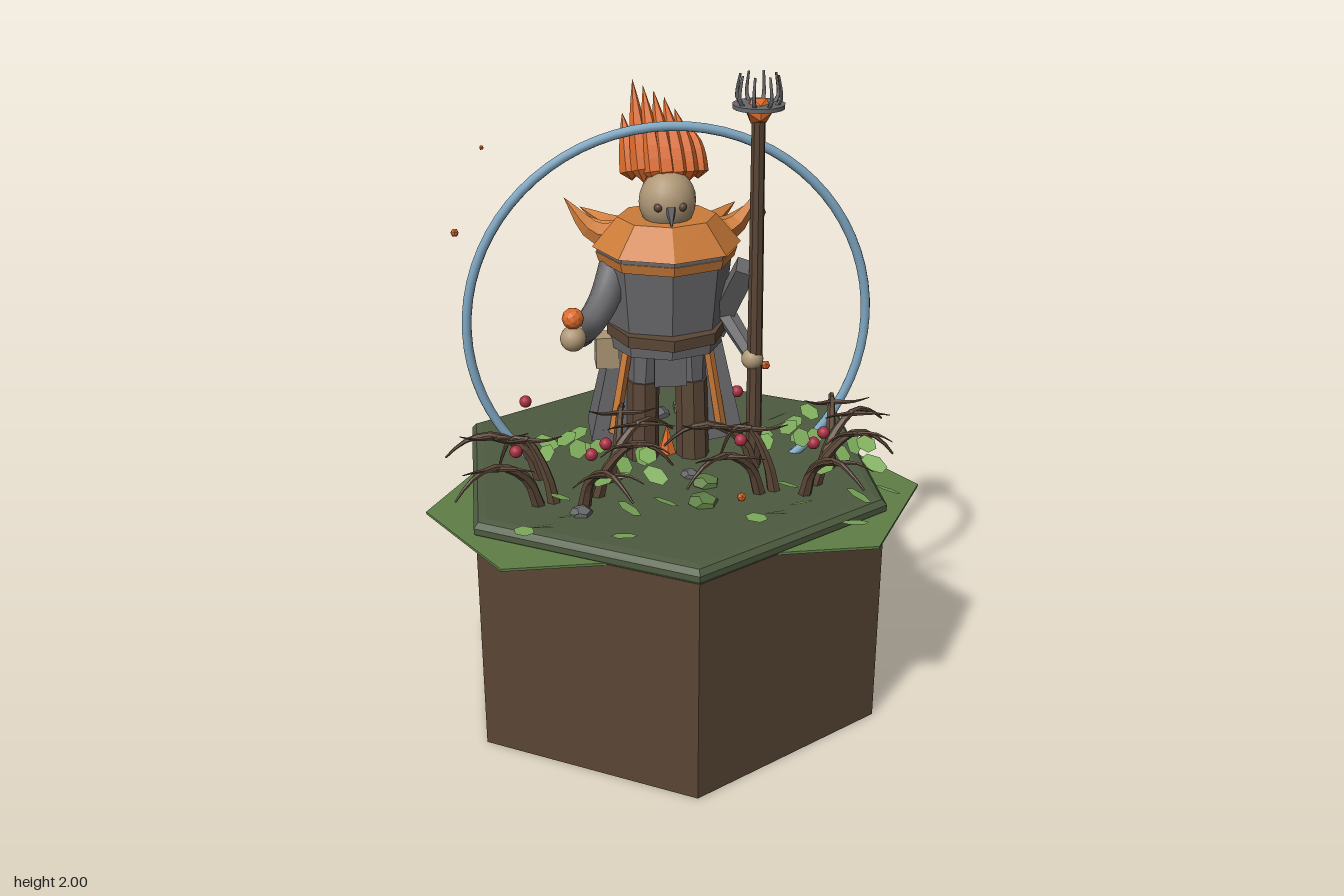
import * as THREE from 'three';

const V = (x, y, z) => new THREE.Vector3(x, y, z);
const mat = (name, color) => {
  const m = new THREE.MeshStandardMaterial({ color });
  m.name = name;
  return m;
};

// Faceted normals
function flat(g) {
  const f = g.index ? g.toNonIndexed() : g;
  f.computeVertexNormals();
  return f;
}

// Tube along points whose radius follows a rule of t
function taper(points, radius, rule, steps = 8, sides = 6) {
  const curve = new THREE.CatmullRomCurve3(points.map(p => V(...p)));
  const g = new THREE.TubeGeometry(curve, steps, radius, sides);
  const pos = g.attributes.position, v = V(0, 0, 0);
  for (let i = 0; i <= steps; i++) {
    const c = curve.getPointAt(i / steps);
    for (let j = 0; j <= sides; j++) {
      const k = i * (sides + 1) + j;
      v.fromBufferAttribute(pos, k).sub(c).multiplyScalar(rule(i / steps)).add(c);
      pos.setXYZ(k, v.x, v.y, v.z);
    }
  }
  g.computeVertexNormals();
  return g;
}
const featherRule = t => (t === 0 ? 0 : Math.max(0.01, 1 - t * t));
const stemRule = t => Math.max(0.12, 1 - 0.85 * t);

// Straight prism between two points
function rod(a, b, rA, rB, sides = 8, twist = 0) {
  const A = V(...a), B = V(...b), d = B.clone().sub(A);
  const g = new THREE.CylinderGeometry(rB, rA, d.length(), sides);
  g.rotateY(twist);
  g.applyQuaternion(new THREE.Quaternion().setFromUnitVectors(V(0, 1, 0), d.normalize()));
  const m = A.add(B).multiplyScalar(0.5);
  return flat(g.translate(m.x, m.y, m.z));
}

function seeded(seed) {
  return () => (seed = (seed * 16807) % 2147483647) / 2147483647;
}

export function createModel() {
  const model = new THREE.Group();
  const earth = mat('earth and wood', 0x5a4636), moss = mat('moss', 0x4d5a3f);
  const grass = mat('grass', 0x5f7f46), leafMat = mat('leaf', 0x7dab5c);
  const steel = mat('grey cloth and metal', 0x68686b), skin = mat('tan', 0xae9776);
  const feather = mat('feather orange', 0xcd7c3a), flame = mat('bright orange', 0xd9692a);
  const blue = mat('ring blue', 0x7fa7c2), red = mat('berry red', 0xa52e42);
  leafMat.side = THREE.DoubleSide;

  const add = (name, g, m, p = [0, 0, 0], parent = model) => {
    const mesh = new THREE.Mesh(g, m);
    mesh.name = name;
    mesh.position.set(...p);
    parent.add(mesh);
    return mesh;
  };
  const ball = (r, sy = 1) => new THREE.SphereGeometry(r, 16, 12).scale(1, sy, 1);

  // Hexagonal base with bevelled moss cap and grass plates
  add('base', flat(new THREE.CylinderGeometry(0.705, 0.705, 0.725, 6)), earth, [0, 0.3625, 0]);
  const cap = [[0, 0.72], [0.7, 0.72], [0.711, 0.735], [0.711, 0.752], [0.695, 0.768], [0.67, 0.773], [0, 0.773]];
  add('mossCap', flat(new THREE.LatheGeometry(cap.map(p => new THREE.Vector2(...p)), 6)), moss);
  for (const s of [-1, 1]) {
    const plate = new THREE.CylinderGeometry(0.43, 0.43, 0.008, 6).rotateY(Math.PI / 6);
    add('grassPlate', flat(plate), grass, [s * 0.3275, 0.726, 0.19]);
  }

  // Ring standing in the ground
  add('ring', new THREE.TorusGeometry(0.61, 0.0145, 10, 72), blue, [0, 1.227, 0]);

  // Rocks: x, z, radius, green or grey
  for (const [x, z, r, m] of [[0, -0.335, 0.045, steel], [0.11, -0.37, 0.06, grass], [0.09, 0.19, 0.045, grass],
    [0.065, 0.315, 0.048, grass], [0.05, 0.13, 0.03, steel], [-0.3, 0.34, 0.035, steel]]) {
    add('rock', flat(new THREE.DodecahedronGeometry(r).scale(1, 0.5, 1)), m, [x, 0.778, z]).rotation.y = x * 9;
  }

  // Floating embers
  for (const [x, y, z, r] of [[-0.63, 1.535, -0.015, 0.013], [-0.54, 1.785, -0.02, 0.007],
    [0.4, 0.86, -0.515, 0.018], [0.165, 0.83, 0.4, 0.015], [0.28, 1.57, 0, 0.012]]) {
    add('ember', flat(new THREE.IcosahedronGeometry(r, 0)), flame, [x, y, z]);
  }

  // Legs
  const figure = new THREE.Group();
  figure.name = 'figure';
  model.add(figure);
  const part = (name, g, m, p) => add(name, g, m, p, figure);
  for (const s of [-1, 1]) {
    part('boot', rod([s * 0.08, 0.77, -0.03], [s * 0.075, 1.03, -0.04], 0.052, 0.05), earth);
    part('thigh', rod([s * 0.075, 1.0, -0.045], [s * 0.065, 1.18, -0.05], 0.045, 0.06), steel);
    // Flared coat tails with orange trim
    const tail = new THREE.CylinderGeometry(0.075, 0.11, 0.38, 4).rotateY(Math.PI / 4);
    tail.scale(0.85, 1, 1.1);
    const t = part('coatTail', flat(tail), steel, [s * 0.145, 1.01, -0.115]);
    t.rotation.z = s * 0.16;
    part('coatTrim', rod([s * 0.17, 0.86, -0.025], [s * 0.12, 1.17, -0.02], 0.017, 0.015, 4), feather);
  }
  part('frontCloth', new THREE.BoxGeometry(0.1, 0.14, 0.02), steel, [0, 1.11, 0.04]);
  part('groundFlame', flat(new THREE.ConeGeometry(0.032, 0.1, 6)), flame, [0, 0.82, -0.05]);

  // Torso, belt and layered collar, all eight-sided
  const band = (name, y0, y1, r0, r1, m, depth = 0.85) =>
    part(name, flat(new THREE.CylinderGeometry(r1, r0, y1 - y0, 8).scale(1, 1, depth)), m, [0, (y0 + y1) / 2, -0.052]);
  band('torso', 1.14, 1.46, 0.17, 0.202, steel, 0.8);
  band('belt', 1.185, 1.22, 0.185, 0.185, earth, 1);
  band('collarRim', 1.42, 1.45, 0.207, 0.216, feather, 0.87);
  band('collarBand', 1.45, 1.475, 0.212, 0.212, steel, 0.87);
  band('collar', 1.465, 1.555, 0.226, 0.15, feather, 0.87);
  part('pouch', new THREE.BoxGeometry(0.07, 0.1, 0.07), skin, [-0.185, 1.12, -0.08]);
  part('beltStrap', rod([0.15, 1.21, -0.12], [0.17, 1.1, -0.2], 0.012, 0.01, 6), earth);

  // Shoulder feathers, curving out and up
  for (const s of [-1, 1]) {
    for (const [x, y, z] of [[0.3, 1.585, -0.17], [0.285, 1.54, -0.21], [0.245, 1.52, -0.285], [0.21, 1.44, -0.24]]) {
      const path = [[s * 0.08, 1.5, -0.07], [s * (x - 0.1), 1.485, z * 0.65], [s * x, y, z]];
      part('shoulderFeather', flat(taper(path, 0.045, featherRule, 7, 5)), feather);
    }
  }
  // Back feathers
  part('longBackFeather', flat(taper([[0, 1.49, -0.15], [0.03, 1.32, -0.25], [0.08, 1.03, -0.37]], 0.042, featherRule, 8, 5)), feather);
  part('backFeather', flat(taper([[0.02, 1.52, -0.14], [0.04, 1.44, -0.22], [0.06, 1.29, -0.285]], 0.042, featherRule, 7, 5)), feather);

  // Head with eyes and beak
  part('head', ball(0.086, 1.1), skin, [0, 1.605, -0.035]);
  for (const s of [-1, 1]) part('eye', ball(0.013), earth, [s * 0.036, 1.605, 0.038]);
  const beak = part('beak', flat(new THREE.ConeGeometry(0.018, 0.065, 5)), steel, [0, 1.575, 0.058]);
  beak.rotation.x = Math.PI * 0.85;

  // Crest: a fan of feathers leaning back
  [1.84, 1.94, 1.92, 1.905, 1.885, 1.85, 1.8].forEach((top, i) => {
    const x = -0.1 + i * 0.033, z = -0.025 - 6 * x * x;
    const path = [[x, 1.655, z], [x * 1.02 - 0.008, 1.76, z - 0.04], [x * 0.95 - 0.025, top, -0.165]];
    part('crestFeather', flat(taper(path, 0.034, featherRule, 8, 6)), flame);
  });

  // Raised arm holding a glowing orb
  const arm = [[-0.15, 1.42, -0.06], [-0.2, 1.32, 0.03], [-0.26, 1.27, 0.12], [-0.305, 1.285, 0.22]];
  part('raisedArm', taper(arm, 0.05, t => 1 - 0.2 * t, 12, 10), steel);
  part('raisedHand', ball(0.038), skin, [-0.305, 1.287, 0.24]);
  part('orb', flat(new THREE.IcosahedronGeometry(0.032, 1)), flame, [-0.305, 1.35, 0.245]);

  // Arm on the staff side
  part('staffArm', rod([0.155, 1.18, -0.08], [0.225, 1.42, 0.06], 0.045, 0.042, 4, 0.6), steel);
  part('staffForearm', rod([0.18, 1.24, -0.04], [0.245, 1.14, 0.06], 0.032, 0.026, 6), steel);
  part('staffHand', ball(0.034), skin, [0.247, 1.13, 0.072]);

  // Staff with pronged head
  const staff = new THREE.Group();
  staff.name = 'staff';
  model.add(staff);
  add('shaft', rod([0.258, 0.77, 0.068], [0.246, 1.9, 0.088], 0.025, 0.02), earth, [0, 0, 0], staff);
  add('staffDisc', new THREE.CylinderGeometry(0.076, 0.076, 0.012, 16), steel, [0.246, 1.91, 0.088], staff);
  add('staffGem', flat(new THREE.IcosahedronGeometry(0.042, 0)), flame, [0.246, 1.895, 0.088], staff);
  for (let i = 0; i < 8; i++) {
    const path = [[0.045, 1.905, 0], [0.064, 1.93, 0], [0.062, 1.965, 0], [0.055, 2, 0]];
    add('prong', taper(path, 0.007, t => 1 - 0.5 * t, 6, 5), steel, [0.246, 0, 0.088], staff).rotation.y = (i + 0.5) * Math.PI / 4;
  }

  // Bush, used twice: arched stems, leaves and berries
  const bush = new THREE.Group();
  bush.name = 'bush';
  const rand = seeded(77);
  const stems = [[-0.09, -0.1, -0.36, -0.09], [-0.1, 0.08, -0.33, 0.22], [0.05, 0.11, 0.17, 0.32],
    [0.16, -0.08, 0.2, -0.27], [0.14, -0.06, 0.34, -0.16], [0.1, 0.04, 0.31, 0.1], [-0.05, 0.06, -0.2, 0.02]];
  stems.forEach(([x0, z0, x1, z1], i) => {
    const at = (t, y) => [x0 + (x1 - x0) * t, y, z0 + (z1 - z0) * t];
    const peak = 0.93 + 0.05 * rand();
    const path = [at(-0.05, 0.765), at(0.1, 0.87), at(0.5, peak), at(0.8, peak - 0.02), at(1, 0.86 + 0.03 * rand())];
    add('stem', flat(taper(path, 0.021, stemRule, 10, 6)), earth, [0, 0, 0], bush);
    for (const s of [-1, 1]) {
      const b = at(0.45, peak - 0.01), k = 0.06 * s;
      const twig = [b, [b[0] + k, peak + 0.005, b[2] + 0.04], [b[0] + 1.7 * k, peak + 0.03 - 0.02 * (i % 3), b[2] + 0.07]];
      add('twig', flat(taper(twig, 0.009, stemRule, 5, 5)), earth, [0, 0, 0], bush);
    }
  });
  const leaf = new THREE.CircleGeometry(0.045, 6).rotateX(-Math.PI / 2).scale(0.62, 1, 1);
  for (const [x, z] of [[0.13, -0.26], [0, -0.13], [0.04, -0.08], [-0.02, -0.04], [0, 0.04], [-0.03, 0.2], [-0.01, 0.31],
    [-0.08, 0.3], [0.14, 0.35], [0.03, 0.09], [0.17, 0.04], [0.24, 0.05], [0.28, 0.17], [0.26, 0.08], [0.1, -0.03],
    [-0.06, -0.01], [-0.14, 0.31], [-0.09, 0.35], [-0.05, -0.13], [0.1, 0.1], [0.15, 0.12], [0.24, -0.1], [0.16, 0.3], [0.05, -0.03]]) {
    const y = 0.99 - 0.35 * Math.hypot(x, z) - 0.09 * rand();
    const m = add('leaf', leaf, leafMat, [x, y, z], bush);
    m.rotation.set((rand() - 0.5) * 0.9, (rand() - 0.5) * 1.6, (rand() - 0.5) * 0.9);
  }
  for (const [x, y, z] of [[-0.11, 0.97, -0.24], [-0.15, 0.95, 0.075], [0.12, 0.92, -0.01], [0.26, 0.88, -0.035], [0.07, 0.93, 0.08]]) {
    add('berry', ball(0.019), red, [x, y, z], bush);
  }
  for (const s of [-1, 1]) {
    const b = bush.clone();
    b.position.set(s * 0.3325, 0, 0.19);
    model.add(b);
  }
  return model;
}
